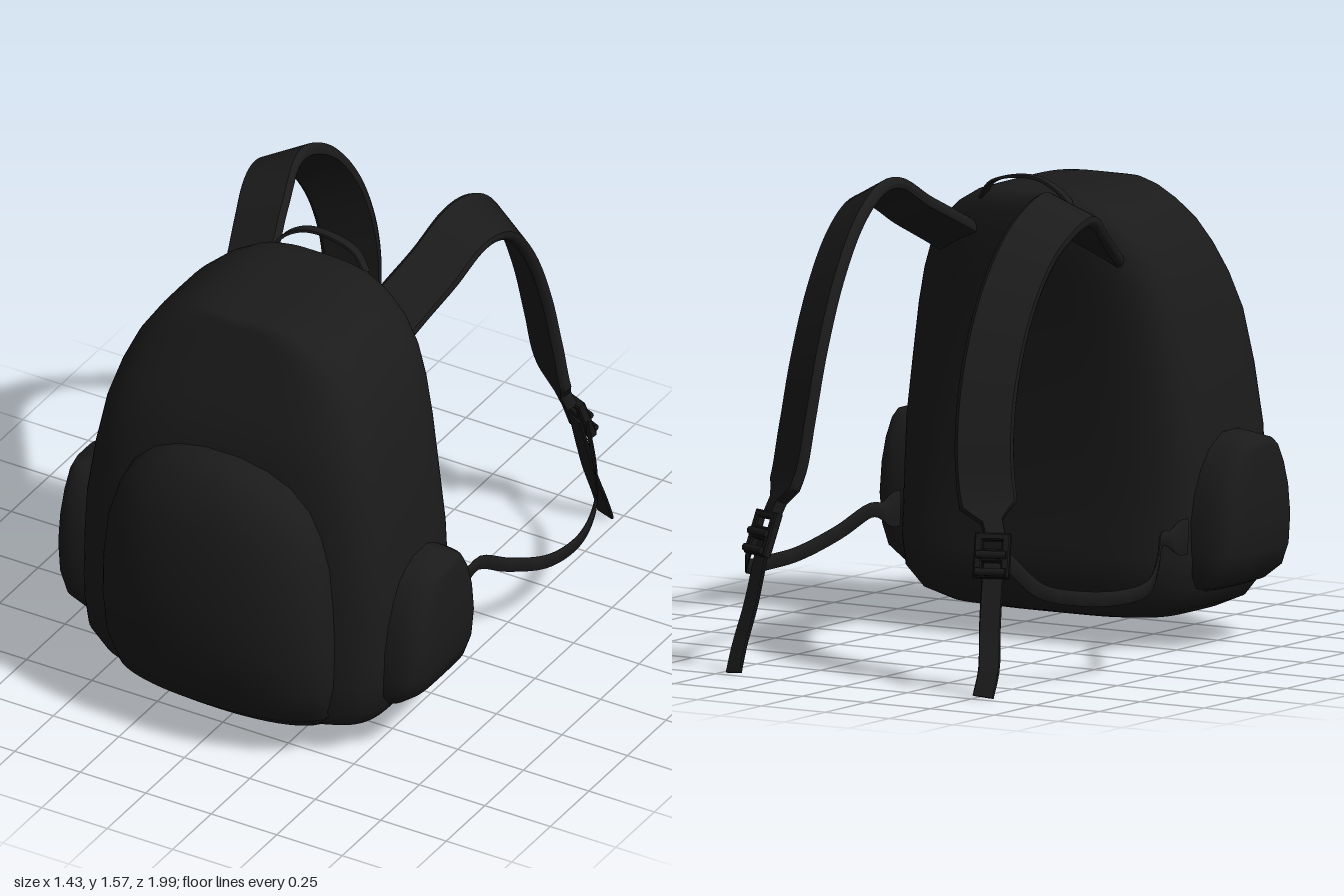
import * as THREE from 'three';
import { toCreasedNormals } from 'three/addons/utils/BufferGeometryUtils.js';

const fabric = new THREE.MeshStandardMaterial({ color: 0x1b1b1b });
fabric.name = 'black fabric';
const plastic = new THREE.MeshStandardMaterial({ color: 0x171717 });
plastic.name = 'black plastic';

const V = (x, y, z) => new THREE.Vector3(x, y, z);

// Skin equal rings of points, closed at both ends
function skin(rings) {
  const n = rings[0].length, pos = [], idx = [];
  rings.forEach(r => r.forEach(p => pos.push(p.x, p.y, p.z)));
  for (let i = 0; i < rings.length - 1; i++) {
    for (let j = 0; j < n; j++) {
      const a = i * n + j, b = i * n + (j + 1) % n;
      idx.push(a, a + n, b, b, a + n, b + n);
    }
  }
  [0, rings.length - 1].forEach((i, end) => {
    const c = V(0, 0, 0);
    rings[i].forEach(p => c.addScaledVector(p, 1 / n));
    const k = pos.length / 3;
    pos.push(c.x, c.y, c.z);
    for (let j = 0; j < n; j++) {
      const a = i * n + j, b = i * n + (j + 1) % n;
      if (end) idx.push(k, b, a); else idx.push(k, a, b);
    }
  });
  const g = new THREE.BufferGeometry();
  g.setAttribute('position', new THREE.Float32BufferAttribute(pos, 3));
  g.setIndex(idx);
  g.computeVertexNormals();
  return g;
}

// Padded volume from level rows [y, half width, back z, front z]
function padded(rows, cx, power, segments = 64) {
  const bend = v => Math.sign(v) * Math.pow(Math.abs(v), 2 / power);
  return skin(rows.map(([y, w, zb, zf]) => {
    const ring = [];
    for (let j = 0; j < segments; j++) {
      const a = (j / segments) * Math.PI * 2;
      ring.push(V(cx + w * bend(Math.cos(a)), y, (zb + zf) / 2 + (zf - zb) / 2 * bend(Math.sin(a))));
    }
    return ring;
  }));
}

// Flat strap along a curve, rolling from one width direction to another;
// widthAt gives the half width at 0..1
function ribbon(points, acrossStart, acrossEnd, widthAt, thick, steps = 36) {
  const curve = new THREE.CatmullRomCurve3(points), rings = [];
  for (let i = 0; i <= steps; i++) {
    const t = i / steps, p = curve.getPointAt(t), tan = curve.getTangentAt(t);
    const w = acrossStart.clone().lerp(acrossEnd, t);
    w.addScaledVector(tan, -w.dot(tan)).normalize();
    const n = V(0, 0, 0).crossVectors(tan, w);
    const h = widthAt(t), d = thick / 2;
    const corners = [[h, -d * 0.4], [h, d * 0.4], [h * 0.9, d], [-h * 0.9, d],
      [-h, d * 0.4], [-h, -d * 0.4], [-h * 0.9, -d], [h * 0.9, -d]];
    rings.push(corners.reverse().map(([u, v]) => p.clone().addScaledVector(w, u).addScaledVector(n, v)));
  }
  return toCreasedNormals(skin(rings), 0.7);
}

function rectPath(path, w, h, y = 0) {
  path.moveTo(-w / 2, y - h / 2);
  path.lineTo(w / 2, y - h / 2);
  path.lineTo(w / 2, y + h / 2);
  path.lineTo(-w / 2, y + h / 2);
  path.closePath();
  return path;
}

export function createModel() {
  const model = new THREE.Group();
  model.name = 'backpack';
  const add = (geometry, name, material = fabric, parent = model) => {
    const m = new THREE.Mesh(geometry, material);
    m.name = name;
    parent.add(m);
    return m;
  };

  // Main compartment
  add(padded([
    [0.077, 0.3, 0.3, 0.68], [0.093, 0.43, 0.23, 0.75], [0.13, 0.52, 0.175, 0.785],
    [0.2, 0.575, 0.14, 0.808], [0.3, 0.59, 0.138, 0.812], [0.38, 0.592, 0.15, 0.812],
    [0.55, 0.588, 0.155, 0.812], [0.7, 0.58, 0.155, 0.81], [0.9, 0.55, 0.15, 0.8],
    [1.08, 0.515, 0.135, 0.782], [1.2, 0.48, 0.121, 0.745], [1.3, 0.438, 0.11, 0.705],
    [1.38, 0.385, 0.106, 0.675], [1.44, 0.315, 0.106, 0.652], [1.48, 0.245, 0.115, 0.637],
    [1.5, 0.18, 0.135, 0.625], [1.508, 0.1, 0.19, 0.58],
  ], 0.008, 4.4), 'mainCompartment');

  // Front pocket
  add(padded([
    [0.085, 0.3, 0.55, 0.76], [0.1, 0.35, 0.58, 0.82], [0.17, 0.4, 0.6, 0.91],
    [0.3, 0.425, 0.6, 0.97], [0.45, 0.43, 0.6, 0.995], [0.6, 0.425, 0.6, 1.0],
    [0.75, 0.41, 0.6, 0.99], [0.87, 0.375, 0.6, 0.97], [0.95, 0.335, 0.6, 0.945],
    [1.02, 0.265, 0.6, 0.91], [1.06, 0.18, 0.6, 0.87], [1.08, 0.08, 0.6, 0.83],
  ], 0.02, 2.2), 'frontPocket');

  // Side pockets
  for (const s of [1, -1]) {
    add(padded([
      [0.19, 0.08, 0.33, 0.6], [0.205, 0.12, 0.28, 0.655], [0.25, 0.175, 0.258, 0.685],
      [0.32, 0.2, 0.252, 0.692], [0.42, 0.21, 0.252, 0.688], [0.52, 0.21, 0.267, 0.672],
      [0.6, 0.207, 0.295, 0.643], [0.66, 0.203, 0.335, 0.605], [0.685, 0.195, 0.37, 0.57],
      [0.71, 0.11, 0.42, 0.515],
    ], s * 0.5, 4.6), s > 0 ? 'leftSidePocket' : 'rightSidePocket');
  }

  // Carry handle
  add(ribbon([V(-0.17, 1.47, 0.125), V(-0.13, 1.515, 0.108), V(-0.06, 1.55, 0.102), V(0.04, 1.552, 0.102),
    V(0.13, 1.525, 0.108), V(0.18, 1.47, 0.125)], V(0, 0, 1), V(0, 0, 1), () => 0.017, 0.01, 24), 'carryHandle');

  const harness = [
    { side: 1, name: 'left', x: [0.275, 0.298, 0.33, 0.357, 0.362, 0.35, 0.34, 0.335, 0.34, 0.36, 0.4],
      loop: [0.55, 0.55, 0.555, 0.6, 0.655, 0.67, 0.625, 0.56, 0.46], buckle: 0.41, tail: 0.445 },
    { side: -1, name: 'right', x: [0.265, 0.29, 0.33, 0.365, 0.38, 0.375, 0.37, 0.375, 0.39, 0.42, 0.475],
      loop: [0.575, 0.575, 0.585, 0.645, 0.71, 0.715, 0.665, 0.59, 0.53], buckle: 0.485, tail: 0.53 },
  ];
  const shoulderZY = [[0.15, 1.32], [0.06, 1.37], [-0.06, 1.435], [-0.19, 1.51], [-0.29, 1.508],
    [-0.44, 1.425], [-0.58, 1.255], [-0.69, 1.03], [-0.75, 0.82], [-0.78, 0.64], [-0.815, 0.51]];
  const loopZY = [[0.2, 0.39], [0.1, 0.395], [0.03, 0.405], [-0.09, 0.345], [-0.25, 0.29],
    [-0.42, 0.28], [-0.6, 0.295], [-0.72, 0.33], [-0.83, 0.44]];

  for (const { side: s, name, x, loop, buckle, tail } of harness) {
    // Padded shoulder strap, narrowing to webbing at the buckle
    add(ribbon(shoulderZY.map(([z, y], i) => V(s * x[i], y, z)), V(s, -0.55, 0.25), V(s, -0.35, 0.55),
      t => 0.097 - 0.062 * THREE.MathUtils.smoothstep(t, 0.93, 0.97), 0.04, 60), name + 'ShoulderStrap');

    // Thin lower strap, widening to a triangular anchor on the bag
    add(ribbon(loopZY.map(([z, y], i) => V(s * loop[i], y, z)), V(0, 1, 0), V(0, 1, 0),
      t => 0.025 + 0.035 * (1 - THREE.MathUtils.smoothstep(t, 0.03, 0.11)), 0.006, 48), name + 'LowerStrap');

    // Loose strap end
    add(ribbon([V(s * buckle, 0.45, -0.835), V(s * (buckle + 0.005), 0.38, -0.855),
      V(s * (buckle + 0.02), 0.22, -0.895), V(s * tail, 0.09, -0.94), V(s * tail, 0.005, -0.975)],
    V(s, 0, 0.5), V(s, 0, 0.3), () => 0.036, 0.012, 16), name + 'StrapEnd');

    // Ladder buckle
    const clip = new THREE.Group();
    clip.name = name + 'Buckle';
    clip.position.set(s * buckle, 0.455, -0.85);
    clip.rotation.set(0.35, -s * 0.4, 0, 'YXZ');
    const frame = rectPath(new THREE.Shape(), 0.11, 0.14);
    for (const y of [-0.036, 0.036]) frame.holes.push(rectPath(new THREE.Path(), 0.074, 0.038, y));
    const frameGeometry = new THREE.ExtrudeGeometry(frame, { depth: 0.022, bevelSize: 0.005,
      bevelThickness: 0.005, bevelSegments: 1 });
    frameGeometry.translate(0, 0, -0.011);
    add(frameGeometry, 'buckleFrame', plastic, clip);
    for (const y of [-0.058, 0]) {
      const bar = add(new THREE.CylinderGeometry(0.013, 0.013, 0.1, 10), 'buckleBar', plastic, clip);
      bar.rotation.z = Math.PI / 2;
      bar.position.set(0, y, -0.02);
    }
    model.add(clip);
  }
  return model;
}
